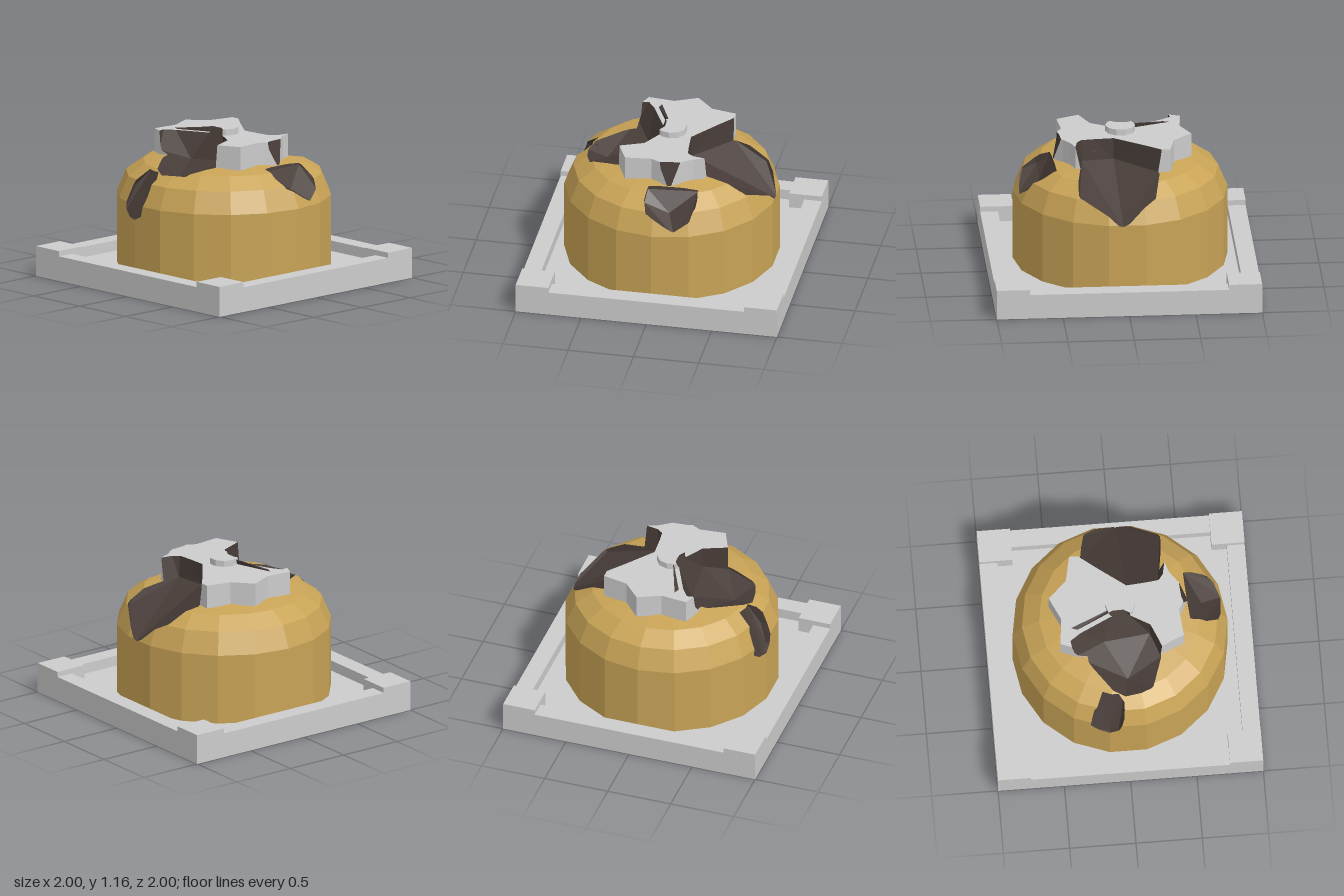
import * as THREE from 'three';
import { ConvexGeometry } from 'three/addons/geometries/ConvexGeometry.js';

const V = (x, y, z) => new THREE.Vector3(x, y, z);
const material = (color) => new THREE.MeshStandardMaterial({ color, flatShading: true, side: THREE.DoubleSide });

// Convex solid: its triangles and the planes that bound it
function convex(points) {
  const pos = new ConvexGeometry(points).attributes.position;
  const polys = [], planes = [];
  for (let i = 0; i < pos.count; i += 3) {
    const tri = [0, 1, 2].map((k) => new THREE.Vector3().fromBufferAttribute(pos, i + k));
    const plane = new THREE.Plane().setFromCoplanarPoints(...tri);
    if (plane.normal.lengthSq() < 0.5) continue;
    polys.push(tri);
    const same = (p) => p.normal.dot(plane.normal) > 0.99999 && Math.abs(p.constant - plane.constant) < 1e-4;
    if (!planes.some(same)) planes.push(plane);
  }
  return { polys, planes };
}

// Split a polygon into the parts outside and inside a plane
function split(poly, plane) {
  const d = poly.map((p) => plane.distanceToPoint(p)), eps = 1e-5;
  if (d.every((v) => v <= eps)) return [null, poly];
  if (d.every((v) => v >= -eps)) return [poly, null];
  const outside = [], inside = [];
  poly.forEach((p, i) => {
    const j = (i + 1) % poly.length;
    if (d[i] >= -eps) outside.push(p);
    if (d[i] <= eps) inside.push(p);
    if ((d[i] > eps && d[j] < -eps) || (d[i] < -eps && d[j] > eps)) {
      const q = p.clone().lerp(poly[j], d[i] / (d[i] - d[j]));
      outside.push(q);
      inside.push(q);
    }
  });
  return [outside, inside];
}

function subtract(poly, planes) {
  const kept = [];
  let rest = poly;
  for (const plane of planes) {
    const [outside, inside] = split(rest, plane);
    if (outside) kept.push(outside);
    if (!inside) return [poly];
    rest = inside;
  }
  return kept;
}

function intersect(poly, planes) {
  let rest = poly;
  for (const plane of planes) {
    rest = split(rest, plane)[1];
    if (!rest) return [];
  }
  return [rest];
}

function polyMesh(name, polys, mat) {
  const flat = [];
  for (const p of polys) {
    for (let i = 1; i < p.length - 1; i++) flat.push(p[0], p[i], p[i + 1]);
  }
  const geo = new THREE.BufferGeometry().setFromPoints(flat);
  geo.computeVertexNormals();
  const mesh = new THREE.Mesh(geo, mat);
  mesh.name = name;
  return mesh;
}

const ring = (r, y, n) => Array.from({ length: n }, (_, i) => {
  const a = (i / n) * Math.PI * 2;
  return V(r * Math.cos(a), y, r * Math.sin(a));
});

// Faceted lump: a flat mouth above the cap and a few floor points below it
const lump = (mouth, floor) => convex([
  ...mouth.map(([x, z]) => V(x, 1.22, z)),
  ...floor.map((p) => V(...p)),
]);

// Faceted lump entering from the front, its inner end following the dome's slope
function frontLump(outline, tip) {
  const inner = (y) => Math.min(0.77, 0.77 - (y - 0.65) * 0.8);
  return convex([...outline.flatMap(([x, y]) => [V(x, y, 1), V(x, y, inner(y))]), V(...tip)]);
}

export function createModel() {
  const group = new THREE.Group();
  const grey = material(0xcccccc), gold = material(0xc8a356), dark = material(0x463b37);

  // Square base: floor, low rim and raised corner blocks
  const base = new THREE.Group();
  base.name = 'base';
  const box = (name, w, h, d, x, y, z) => {
    const m = new THREE.Mesh(new THREE.BoxGeometry(w, h, d), grey);
    m.position.set(x, y + h / 2, z);
    m.name = name;
    base.add(m);
  };
  box('floor', 2, 0.11, 2, 0, 0, 0);
  for (const s of [-1, 1]) {
    box('rim', 1.5, 0.08, 0.135, 0, 0.11, s * 0.9325);
    box('rim', 0.135, 0.08, 1.5, s * 0.9325, 0.11, 0);
    for (const t of [-1, 1]) box('cornerBlock', 0.25, 0.12, 0.25, s * 0.875, 0.11, t * 0.875);
  }
  group.add(base);

  // Dome: stacked 18-sided rings
  const profile = [[0.81, 0.1], [0.81, 0.65], [0.74, 0.815], [0.61, 0.905], [0.38, 0.955], [0.1, 0.972]];
  const dome = convex(profile.flatMap(([r, y]) => ring(r, y, 18)));

  // Ragged cap plate: one wedge for each side of its outline
  const outline = [[0.46, 0.27], [0.28, 0.35], [-0.34, 0.32], [-0.47, 0.27], [-0.45, 0.07], [-0.53, -0.1],
    [-0.39, -0.23], [-0.35, -0.42], [-0.2, -0.42], [0.36, -0.32], [0.39, -0.24], [0.44, -0.17],
    [0.52, -0.08], [0.44, 0.07]];
  const wedges = outline.map((a, i) => {
    const b = outline[(i + 1) % outline.length];
    return convex([0.93, 1.11].flatMap((y) => [V(0, y, 0), V(a[0], y, a[1]), V(b[0], y, b[1])]));
  });

  // Small round hub on the cap
  const hub = convex([...ring(0.112, 1.09, 10), ...ring(0.112, 1.157, 10)]);

  // Lumps whose shapes are broken out of the dome and cap
  const breaks = {
    frontBreak: lump(
      [[-0.04, 0.01], [-0.42, 0.19], [-0.4, 0.32], [-0.24, 0.62], [-0.02, 0.8], [0.28, 0.55], [0.3, 0.35], [0.22, 0.16]],
      [[-0.14, 0.92, 0.21], [0.21, 0.95, 0.18], [0.28, 0.92, 0.36], [0.02, 0.84, 0.49], [-0.36, 0.97, 0.33],
        [-0.02, 0.89, 0.7], [0.2, 0.89, 0.6]]),
    backBreak: lump(
      [[0.06, -0.15], [0.31, -0.17], [0.37, -0.25], [0.37, -0.65], [0.18, -1], [-0.15, -1], [-0.28, -0.6], [-0.29, -0.41]],
      [[0.06, 0.95, -0.17], [0.3, 0.95, -0.2], [0.18, 0.82, -0.47], [0.03, 0.63, -0.82], [0.35, 0.8, -0.63],
        [-0.22, 0.8, -0.68], [-0.27, 0.93, -0.43]]),
    sideBreak: lump(
      [[0.43, -0.1], [0.45, -0.2], [0.47, 0.02], [0.9, -0.25], [0.9, 0.05]],
      [[0.53, 0.9, 0.08], [0.62, 0.83, 0.09], [0.5, 0.9, -0.3], [0.62, 0.85, -0.31], [0.72, 0.75, -0.27],
        [0.73, 0.8, 0.06], [0.62, 0.76, -0.1], [0.79, 0.67, -0.17], [1, 0.8, -0.12]]),
    smallBreak: frontLump(
      [[-0.18, 0.89], [-0.06, 0.89], [-0.02, 0.85], [-0.03, 0.72], [-0.07, 0.57], [-0.14, 0.535], [-0.29, 0.55],
        [-0.28, 0.64], [-0.25, 0.78]],
      [-0.16, 0.7, 0.68]),
  };
  const cut = (polys, lumps) => lumps.reduce((rest, l) => rest.flatMap((p) => subtract(p, l.planes)), polys);
  const lumps = Object.values(breaks);

  // Outer surfaces that remain
  group.add(polyMesh('dome', cut(dome.polys, lumps), gold));
  group.add(polyMesh('capPlate', wedges.flatMap((w) => cut(w.polys, lumps)), grey));
  group.add(polyMesh('hub', cut(hub.polys, lumps), grey));

  // Dark inner walls of the breaks, turned to face outward
  for (const [name, piece] of Object.entries(breaks)) {
    const walls = [dome, ...wedges, hub].flatMap((solid) => piece.polys.flatMap((p) => intersect(p, solid.planes)));
    const open = cut(walls, lumps.filter((l) => l !== piece));
    group.add(polyMesh(name, open.map((p) => [...p].reverse()), dark));
  }

  // Thin splinter left standing by the hub
  const splinter = convex([V(-0.38, 1.11, 0.15), V(-0.04, 1.155, 0.02), V(-0.4, 1.1, 0.2), V(-0.06, 1.1, 0.04)]);
  group.add(polyMesh('splinter', splinter.polys, dark));
  return group;
}
